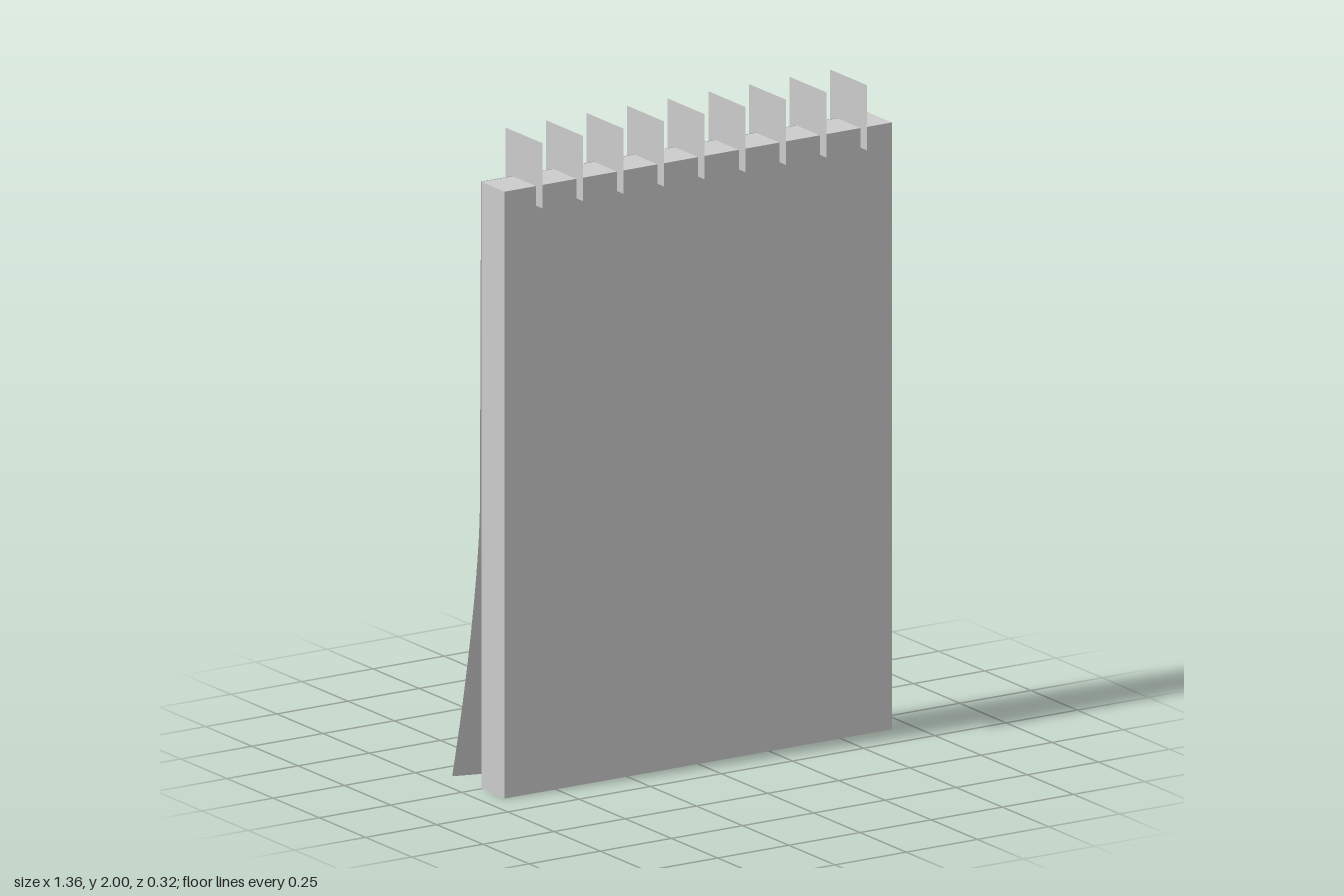
import * as THREE from 'three';

const W = 1.36, H = 1.86, D = 0.125;

// Depth of the loose sheet: a slight lean plus a curl across one lower corner
function sheetDepth(x, y) {
  const lean = 0.003 + 0.011 * (1 - y / H);
  const low = Math.max(0, 1 - y / 0.85);
  const sag = 0.012 * Math.min(1, (0.68 - x) / 0.7) * low;
  const t = Math.max(0, (-x - 0.03) / 0.65 - y / 0.85);
  return -(lean + sag + 0.133 * Math.pow(t, 1.5));
}

export function createModel() {
  const group = new THREE.Group();
  const solid = new THREE.MeshStandardMaterial({ color: 0xcccccc });
  const thin = new THREE.MeshStandardMaterial({ color: 0xcccccc, side: THREE.DoubleSide });

  // Block of pages
  const pad = new THREE.Mesh(new THREE.BoxGeometry(W, H, D), solid);
  pad.name = 'pageBlock';
  pad.position.set(0, H / 2, D / 2);
  group.add(pad);

  // Loose back sheet with a curled corner, facing -z
  const geo = new THREE.PlaneGeometry(W, H, 24, 32);
  geo.rotateY(Math.PI);
  geo.translate(0, H / 2, 0);
  const pos = geo.attributes.position;
  for (let i = 0; i < pos.count; i++) pos.setZ(i, sheetDepth(pos.getX(i), pos.getY(i)));
  geo.computeVertexNormals();
  const sheet = new THREE.Mesh(geo, thin);
  sheet.name = 'curledSheet';
  group.add(sheet);

  // Flat binding rings along the top edge
  const rings = new THREE.Group();
  rings.name = 'bindingRings';
  const ringGeo = new THREE.PlaneGeometry(0.2, 0.2).rotateY(Math.PI / 2);
  for (let i = 0; i < 9; i++) {
    const ring = new THREE.Mesh(ringGeo, thin);
    ring.name = 'bindingRing';
    ring.position.set((i - 4) * 0.1425, 1.9, 0.06);
    rings.add(ring);
  }
  group.add(rings);
  return group;
}
